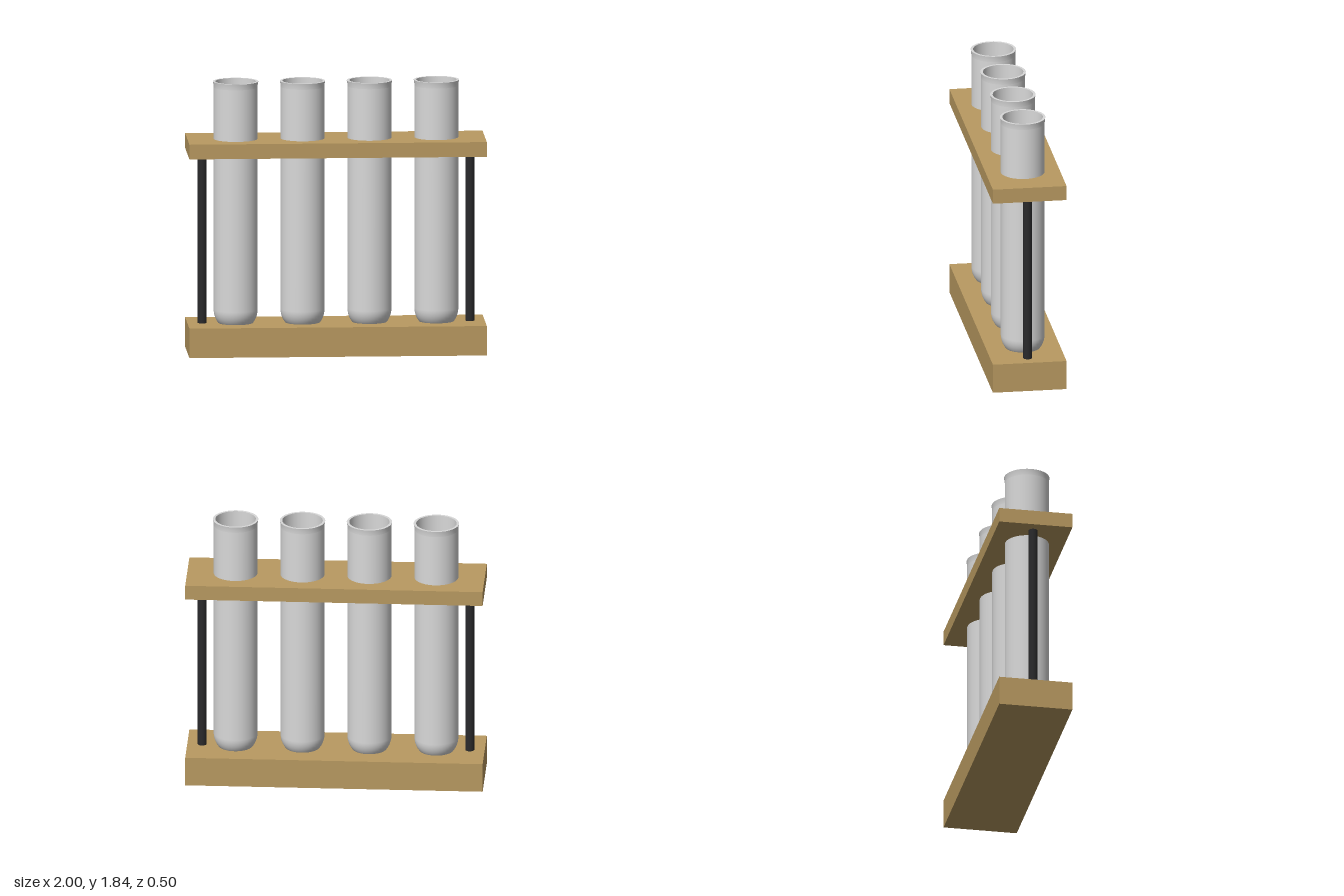
import * as THREE from 'three';

const mat = (name, color) => Object.assign(new THREE.MeshStandardMaterial({ color }), { name });

function createModel() {
  const wood = mat('wood', 0xb99a61);
  const metal = mat('dark metal', 0x2a2a2c);
  const glass = mat('frosted glass', 0xd9d9d9);
  const liquids = [
    mat('red liquid', 0xd40d0d), mat('lime liquid', 0xa2d70f),
    mat('cyan liquid', 0x0fd5d7), mat('purple liquid', 0xa00fd5),
  ];
  const tubeX = [-0.675, -0.225, 0.225, 0.675];
  const model = new THREE.Group();
  model.name = 'testTubeRack';

  const add = (parent, name, geometry, material, x = 0, y = 0) => {
    const mesh = new THREE.Mesh(geometry, material);
    mesh.name = name;
    mesh.position.set(x, y, 0);
    parent.add(mesh);
    return mesh;
  };
  const lathe = (pts) => new THREE.LatheGeometry(pts.map(([r, y]) => new THREE.Vector2(r, y)), 40);

  // Round-bottomed outline from the lowest point up to the equator
  const bowl = (r, cy) => Array.from({ length: 13 }, (_, i) => {
    const a = (i / 12) * Math.PI / 2;
    return [r * Math.sin(a), cy - r * Math.cos(a)];
  });

  // Base block
  add(model, 'base', new THREE.BoxGeometry(2, 0.2, 0.5), wood, 0, 0.1);

  // Upper shelf, drilled for the tubes
  const outline = new THREE.Shape();
  outline.moveTo(-1, -0.25).lineTo(1, -0.25).lineTo(1, 0.25).lineTo(-1, 0.25).closePath();
  for (const x of tubeX) {
    outline.holes.push(new THREE.Path().absarc(x, 0, 0.148, 0, Math.PI * 2, true));
  }
  const shelf = new THREE.ExtrudeGeometry(outline, { depth: 0.1, bevelEnabled: false, curveSegments: 40 });
  shelf.rotateX(-Math.PI / 2);
  add(model, 'shelf', shelf, wood, 0, 1.35);

  // Support posts
  for (const side of [-1, 1]) {
    add(model, side > 0 ? 'leftPost' : 'rightPost',
      new THREE.CylinderGeometry(0.03, 0.03, 1.15, 16), metal, side * 0.9, 0.775);
  }

  // Tubes: outer wall, flared lip, rim, inner wall and liquid
  const centre = 0.29, top = 1.84;
  const outer = lathe([...bowl(0.148, centre), [0.148, 1.8]]);
  const lip = lathe([[0.148, 1.8], [0.149, 1.82], [0.153, top]]);
  const rim = lathe([[0.153, top], [0.136, top]]);
  const inner = lathe([[0.136, top], [0.136, centre], ...bowl(0.136, centre).reverse().slice(1)]);
  const liquid = lathe([...bowl(0.134, centre), [0.134, 1.2]]);
  const surface = new THREE.CircleGeometry(0.134, 40).rotateX(-Math.PI / 2);
  tubeX.forEach((x, i) => {
    const tube = new THREE.Group();
    tube.name = `tube${i + 1}`;
    tube.position.x = x;
    add(tube, 'outerWall', outer, glass);
    add(tube, 'lip', lip, glass);
    add(tube, 'rim', rim, glass);
    add(tube, 'innerWall', inner, glass);
    add(tube, 'liquid', liquid, liquids[i]);
    add(tube, 'liquidSurface', surface, liquids[i], 0, 1.2);
    model.add(tube);
  });

  return model;
}

export { createModel };
